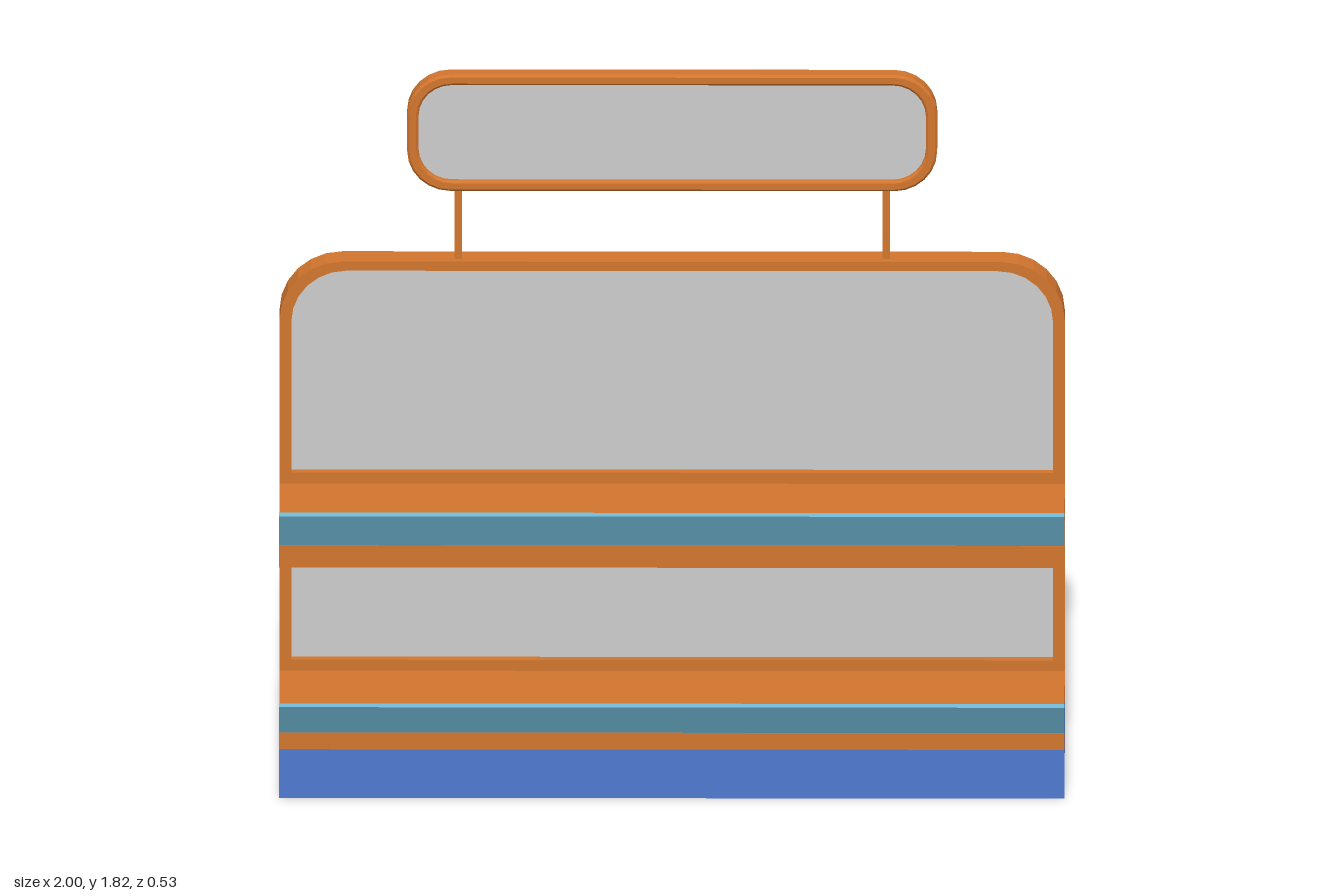
import * as THREE from 'three';

const mat = (color) => new THREE.MeshStandardMaterial({ color, flatShading: true });

// Traces a rectangle whose corners have radius rt (top) and rb (bottom), anticlockwise
function trace(path, x0, y0, x1, y1, rt, rb = 0) {
  path.moveTo(x0 + rb, y0);
  path.lineTo(x1 - rb, y0);
  if (rb) path.absarc(x1 - rb, y0 + rb, rb, -Math.PI / 2, 0, false);
  path.lineTo(x1, y1 - rt);
  if (rt) path.absarc(x1 - rt, y1 - rt, rt, 0, Math.PI / 2, false);
  path.lineTo(x0 + rt, y1);
  if (rt) path.absarc(x0 + rt, y1 - rt, rt, Math.PI / 2, Math.PI, false);
  path.lineTo(x0, y0 + rb);
  if (rb) path.absarc(x0 + rb, y0 + rb, rb, Math.PI, Math.PI * 1.5, false);
  return path;
}

export function createModel() {
  const group = new THREE.Group();
  const orange = mat(0xd2752e), blue = mat(0x5079d0), teal = mat(0x6db3cf), grey = mat(0xcccccc);

  const add = (name, geometry, material) => {
    const mesh = new THREE.Mesh(geometry, material);
    mesh.name = name;
    group.add(mesh);
    return mesh;
  };
  const box = (name, material, x0, x1, y0, y1, z0, z1) =>
    add(name, new THREE.BoxGeometry(x1 - x0, y1 - y0, z1 - z0), material)
      .position.set((x0 + x1) / 2, (y0 + y1) / 2, (z0 + z1) / 2);
  const slab = (name, material, shape, z0, z1, bevel = 0) => {
    const geometry = new THREE.ExtrudeGeometry(shape, {
      depth: z1 - z0 - 2 * bevel, curveSegments: 3, bevelEnabled: bevel > 0,
      bevelSize: bevel, bevelThickness: bevel, bevelOffset: -bevel, bevelSegments: 1,
    });
    add(name, geometry, material).position.z = z0 + bevel;
  };

  // Base plinth
  box('base', blue, -1, 1, 0, 0.14, -0.265, 0.21);

  // Back wall: solid back plate and a front frame with two recessed openings
  slab('backPlate', orange, trace(new THREE.Shape(), -1, 0.14, 1, 1.31, 0.16), -0.265, -0.22);
  const frame = trace(new THREE.Shape(), -1, 0.14, 1, 1.31, 0.16);
  frame.holes.push(
    trace(new THREE.Path(), -0.97, 0.73, 0.97, 1.285, 0.14),
    trace(new THREE.Path(), -0.97, 0.215, 0.97, 0.605, 0));
  slab('backFrame', orange, frame, -0.22, -0.195);
  slab('upperPanel', grey, trace(new THREE.Shape(), -0.97, 0.73, 0.97, 1.285, 0.14), -0.225, -0.216);
  slab('lowerPanel', grey, trace(new THREE.Shape(), -0.97, 0.215, 0.97, 0.605, 0), -0.225, -0.216);

  // Shelves, each with a tilted front lip
  for (const [name, y0, y1, lipTop] of [['lower', 0.14, 0.185, 0.28], ['upper', 0.64, 0.7, 0.805]]) {
    box(name + 'Shelf', orange, -1, 1, y0, y1, -0.2, 0.225);
    const profile = new THREE.Shape([[0.209, y1], [0.222, y1], [0.27, lipTop - 0.006], [0.259, lipTop]]
      .map(([z, y]) => new THREE.Vector2(-z, y)));
    const lip = new THREE.ExtrudeGeometry(profile, { depth: 2, bevelEnabled: false });
    lip.translate(0, 0, -1).rotateY(Math.PI / 2);
    add(name + 'Lip', lip, teal);
  }

  // Sign posts
  for (const x of [-0.545, 0.545]) box('signPost', orange, x - 0.01, x + 0.01, 1.3, 1.51, -0.234, -0.214);

  // Header sign: ring frame around a board with a grey face
  const ring = trace(new THREE.Shape(), -0.675, 1.5, 0.675, 1.82, 0.11, 0.11);
  ring.holes.push(trace(new THREE.Path(), -0.646, 1.529, 0.646, 1.791, 0.085, 0.085));
  slab('signFrame', orange, ring, -0.247, -0.201, 0.006);
  const board = trace(new THREE.Shape(), -0.65, 1.525, 0.65, 1.795, 0.087, 0.087);
  slab('signBoard', orange, board, -0.234, -0.222);
  slab('signFace', grey, board, -0.222, -0.214);

  return group;
}
